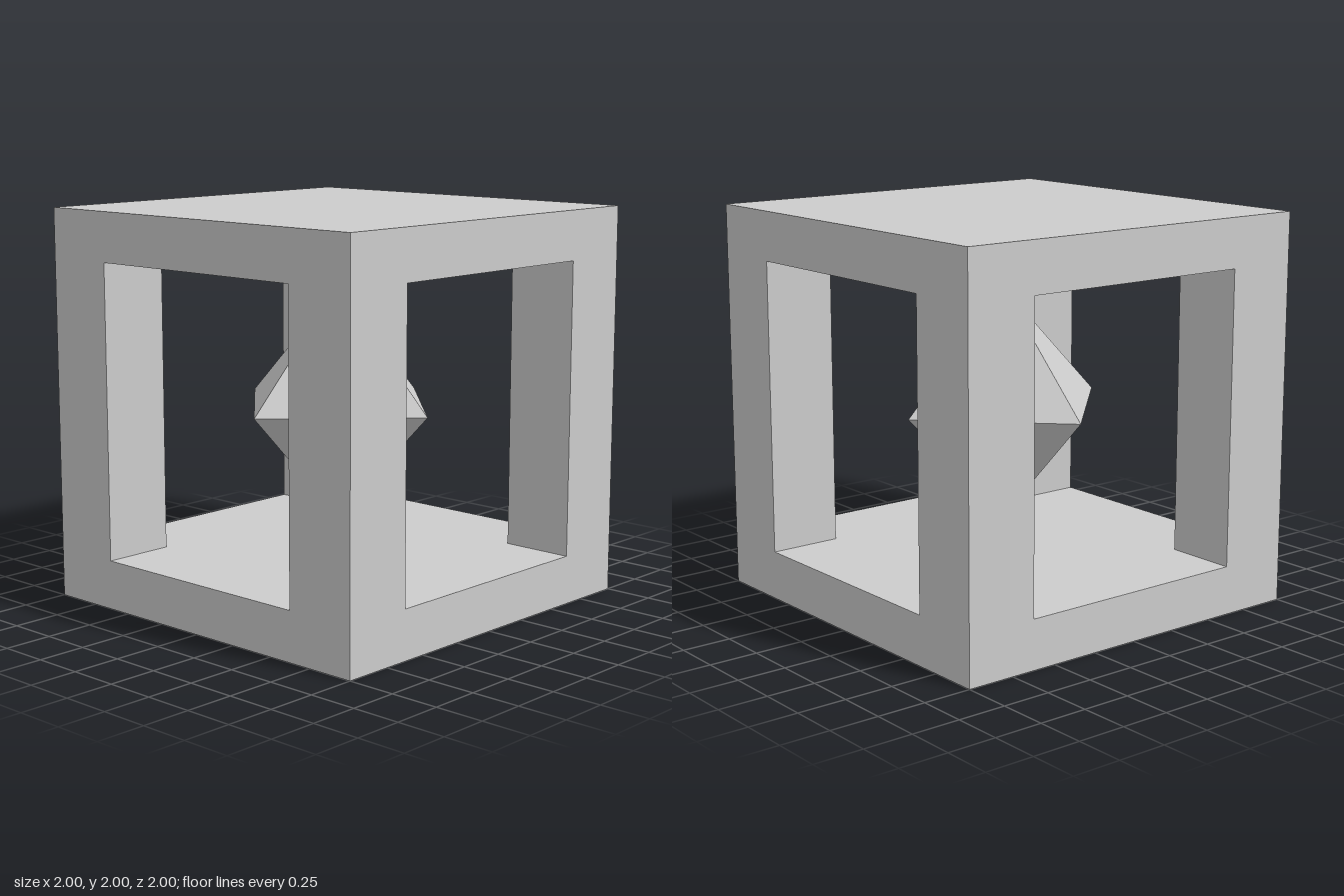
import * as THREE from 'three';

const SIZE = 2;      // outer edge of the cube frame
const SLAB = 0.25;   // thickness of floor and roof
const POST = 0.375;  // width of the square corner posts
const GEM = 0.6;     // octahedron radius

export function createModel() {
  const model = new THREE.Group();
  model.name = 'framedOctahedron';

  const grey = new THREE.MeshStandardMaterial({ color: 0xcccccc });
  grey.name = 'light grey';

  const add = (name, geometry, x, y, z) => {
    const mesh = new THREE.Mesh(geometry, grey);
    mesh.name = name;
    mesh.position.set(x, y, z);
    model.add(mesh);
  };

  // Floor and roof slabs
  const slab = new THREE.BoxGeometry(SIZE, SLAB, SIZE);
  add('floor', slab, 0, SLAB / 2, 0);
  add('roof', slab, 0, SIZE - SLAB / 2, 0);

  // Corner posts, leaving a window on all four sides
  const post = new THREE.BoxGeometry(POST, SIZE - 2 * SLAB, POST);
  const offset = (SIZE - POST) / 2;
  for (const [xName, x] of [['Left', 1], ['Right', -1]]) {
    for (const [zName, z] of [['front', 1], ['back', -1]]) {
      add(`${zName}${xName}Post`, post, x * offset, SIZE / 2, z * offset);
    }
  }

  // Octahedron floating in the middle (faceted normals by default)
  add('octahedron', new THREE.OctahedronGeometry(GEM, 0), 0, SIZE / 2, 0);

  return model;
}
